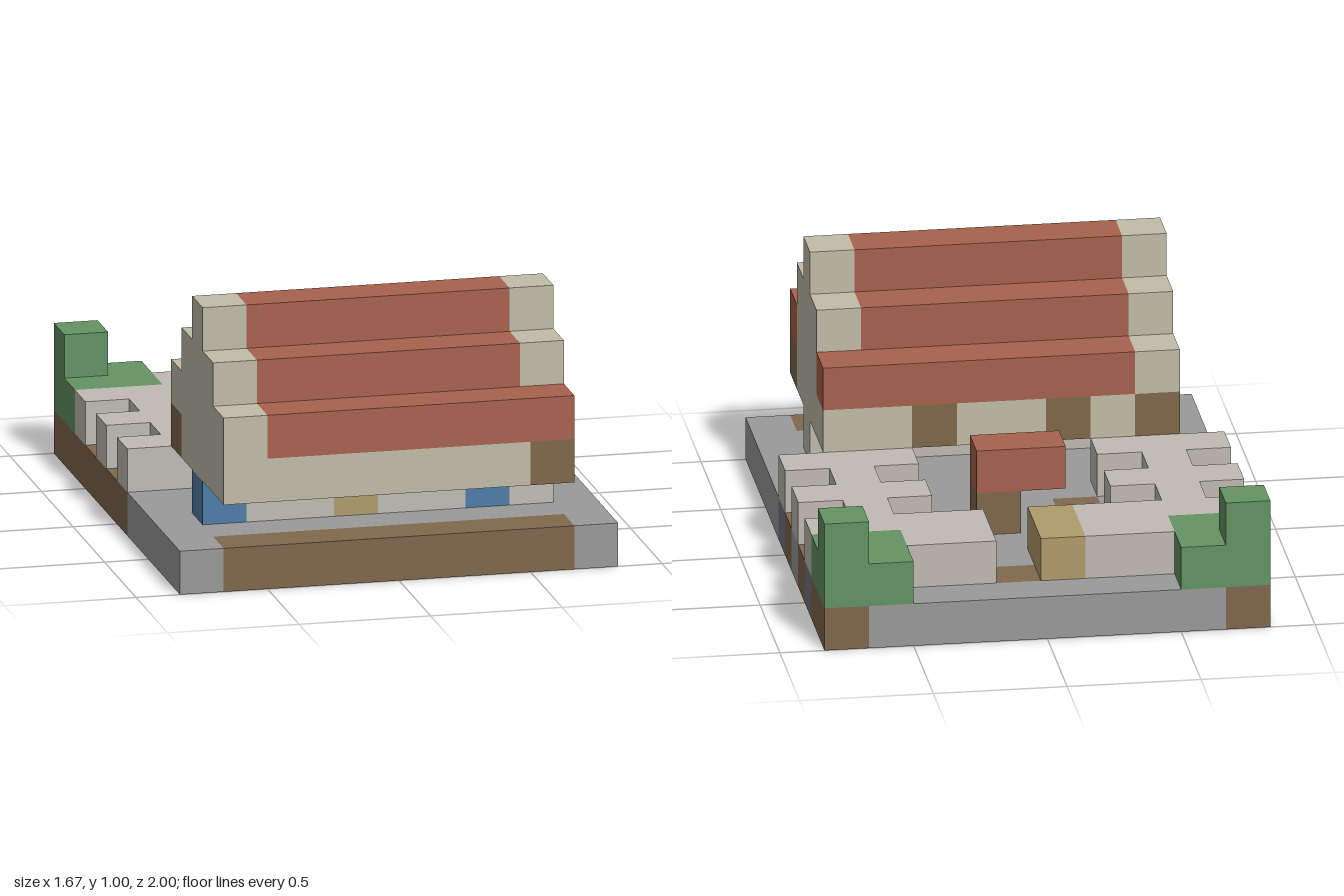
import * as THREE from 'three';

const U = 1 / 6; // edge of one block
const NX = 10, NY = 6, NZ = 12;

const COLORS = {
  stone: 0x9a9a9a, slate: 0x75757f, earth: 0x80684c, plaster: 0xc2bda8, wall: 0xc0bcb4,
  tile: 0xa8624e, leaf: 0x649464, sand: 0xb09c6c, glass: 0x4f7ea8,
};

// Yard plan, back row first: W low wall, L hedge, S sand block, e bare earth, . paving
const YARD = [
  'LL......LL',
  'LLWWSeWWLL',
  'WWWWS.WWWW',
  'eWe.....We',
  'WWW....WWW',
  'eW.e...eWe',
  'WWW....WWW',
];

export function createModel() {
  const blocks = new Map();
  const key = (x, y, z) => x + ',' + y + ',' + z;

  // Fill an inclusive range of blocks; later fills replace earlier ones
  function fill(part, color, [x0, x1], [y0, y1], [z0, z1]) {
    for (let x = x0; x <= x1; x++)
      for (let y = y0; y <= y1; y++)
        for (let z = z0; z <= z1; z++) blocks.set(key(x, y, z), { part, color, x, y, z });
  }
  const put = (part, color, x, y, z) => fill(part, color, [x, x], [y, y], [z, z]);

  // Ground slab with earth and slate borders
  fill('ground', 'stone', [0, 9], [0, 0], [0, 11]);
  fill('ground', 'earth', [1, 8], [0, 0], [11, 11]);
  fill('ground', 'earth', [0, 0], [0, 0], [0, 6]);
  fill('ground', 'earth', [9, 9], [0, 0], [0, 1]);
  for (const z of [2, 6]) put('ground', 'slate', 9, 0, z);

  // Low walls, hedges and bare patches of the yard
  YARD.forEach((row, z) => [...row].forEach((c, x) => {
    if (c === 'W') put('yardWall', 'wall', x, 1, z);
    if (c === 'L') put('hedge', 'leaf', x, 1, z);
    if (c === 'S') put('sandBlock', 'sand', x, 1, z);
    if (c === 'e') put('ground', 'earth', x, 0, z);
  }));
  for (const x of [0, 9]) put('hedge', 'leaf', x, 2, 0);

  // Well canopy on its post
  put('canopyPost', 'earth', 5, 1, 4);
  fill('canopy', 'tile', [4, 5], [2, 2], [4, 4]);

  // Ground-floor wall with windows and door
  fill('houseWall', 'wall', [1, 8], [1, 1], [9, 9]);
  for (const x of [1, 7]) put('window', 'glass', x, 1, 9);
  put('door', 'sand', 4, 1, 9);

  // Overhanging upper floor with timber blocks
  fill('upperFloor', 'plaster', [1, 8], [2, 2], [7, 11]);
  put('timber', 'earth', 8, 2, 11);
  for (const x of [1, 3, 6]) put('timber', 'earth', x, 2, 7);

  // Stepped roof between plaster gables
  for (let i = 0; i < 3; i++) {
    const y = [3 + i, 3 + i], z = [7 + i, 11 - i];
    fill('gable', 'plaster', [1, 8], y, z);
    fill('roof', 'tile', [2, 7], y, z);
  }
  for (const z of [7, 11]) put('roof', 'tile', 8, 3, z);

  // Six face directions: normal and two in-plane axes with u x v = normal
  const dirs = [];
  for (let a = 0; a < 3; a++)
    for (const s of [1, -1]) {
      const n = [0, 0, 0], u = [0, 0, 0], v = [0, 0, 0];
      n[a] = s;
      u[(a + 1) % 3] = 1;
      v[(a + 2) % 3] = s;
      dirs.push({ n, u, v });
    }

  // Keep only the outer skin of the blocks; the underside stays open
  const skins = new Map();
  for (const b of blocks.values()) {
    const id = b.part + '|' + b.color;
    if (!skins.has(id)) skins.set(id, { b, pos: [], nor: [] });
    const skin = skins.get(id);
    const c = [b.x - NX / 2 + 0.5, b.y + 0.5, b.z - NZ / 2 + 0.5];
    for (const { n, u, v } of dirs) {
      if (blocks.has(key(b.x + n[0], b.y + n[1], b.z + n[2]))) continue;
      if (b.y === 0 && n[1] < 0) continue;
      for (const [p, q] of [[-1, -1], [1, -1], [1, 1], [-1, -1], [1, 1], [-1, 1]]) {
        for (let k = 0; k < 3; k++) skin.pos.push((c[k] + (n[k] + p * u[k] + q * v[k]) / 2) * U);
        skin.nor.push(...n);
      }
    }
  }

  // One mesh per part and colour
  const model = new THREE.Group();
  model.name = 'blockHouse';
  for (const { b, pos, nor } of skins.values()) {
    if (!pos.length) continue;
    const geo = new THREE.BufferGeometry();
    geo.setAttribute('position', new THREE.Float32BufferAttribute(pos, 3));
    geo.setAttribute('normal', new THREE.Float32BufferAttribute(nor, 3));
    const mat = new THREE.MeshStandardMaterial({ color: COLORS[b.color], side: THREE.DoubleSide });
    const mesh = new THREE.Mesh(geo, mat);
    mesh.name = b.part;
    model.add(mesh);
  }
  return model;
}
